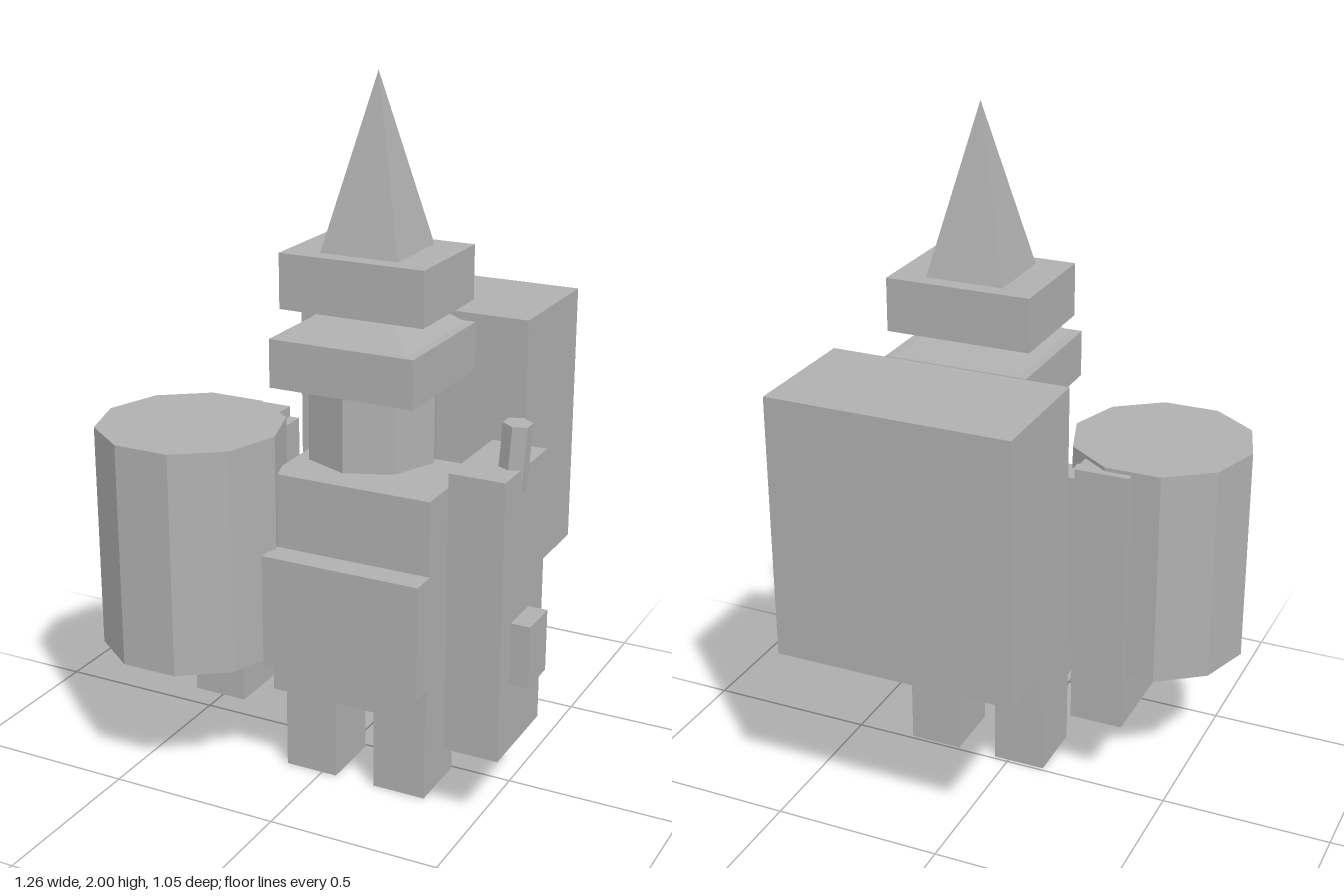
import * as THREE from 'three';

export function createModel() {
  const model = new THREE.Group();
  model.name = 'blockyTraveller';
  const grey = new THREE.MeshStandardMaterial({ color: 0xb0b0b0 });
  grey.name = 'plain grey';
  const MID = 0.105; // centre line of the body

  function add(name, geometry, x, y, z) {
    const mesh = new THREE.Mesh(geometry, grey);
    mesh.name = name;
    mesh.position.set(x, y, z);
    model.add(mesh);
    return mesh;
  }

  // box given by its lower and upper limits on each axis
  function box(name, [x0, x1], [y0, y1], [z0, z1]) {
    return add(name, new THREE.BoxGeometry(x1 - x0, y1 - y0, z1 - z0),
      (x0 + x1) / 2, (y0 + y1) / 2, (z0 + z1) / 2);
  }

  // faceted prism or pyramid standing on y0
  function prism(name, rTop, rBottom, sides, turn, x, [y0, y1], z) {
    let g = new THREE.CylinderGeometry(rTop, rBottom, y1 - y0, sides);
    g.rotateY(turn);
    g = g.toNonIndexed();
    g.computeVertexNormals();
    return add(name, g, x, (y0 + y1) / 2, z);
  }

  // hat: brim, lower slope, band and spire
  box('hatBrim', [-0.106, 0.315], [1.175, 1.31], [-0.115, 0.284]);
  prism('hatSlope', 0, 0.26, 4, Math.PI / 4, MID, [1.31, 1.47], 0.083);
  box('hatBand', [-0.106, 0.315], [1.377, 1.53], [-0.097, 0.225]);
  prism('hatSpire', 0, 0.16, 4, Math.PI / 4, MID, [1.53, 2.0], 0.064);

  // head and body
  prism('head', 0.183, 0.183, 8, 0, MID, [0.963, 1.175], 0.087);
  box('torso', [-0.133, 0.346], [0.255, 0.912], [-0.068, 0.238]);
  box('bellyPlate', [-0.115, 0.355], [0.377, 0.703], [0.25, 0.327]);

  // legs, arms and shoulder pieces, mirrored about the centre line
  for (const side of [1, -1]) {
    const label = side > 0 ? 'left' : 'right';
    const span = (a, b) => [MID + side * a, MID + side * b].sort((p, q) => p - q);
    box(label + 'Leg', span(0.06, 0.218), [0, 0.255], [0.01, 0.2]);
    box(label + 'Arm', span(0.312, 0.47), [0.222, 1.02], [-0.008, 0.281]);
    box(label + 'Shoulder', span(0.282, 0.33), [0.455, 0.99], [-0.006, 0.172]);
  }

  // pouch and tilted peg on the left arm
  box('armPouch', [0.57, 0.63], [0.425, 0.602], [0.092, 0.214]);
  const peg = prism('armPeg', 0.04, 0.04, 6, 0, 0.541, [0.79, 1.14], 0.152);
  peg.rotation.z = -0.07;

  // barrel at the right hand
  prism('barrel', 0.265, 0.265, 10, Math.PI / 10, -0.368, [0.385, 1.031], 0.266);

  // backpack with a small block below
  box('backpack', [-0.244, 0.456], [0.557, 1.323], [-0.528, -0.148]);
  box('backpackBlock', [-0.144, 0.016], [0.425, 0.557], [-0.335, -0.25]);

  return model;
}
